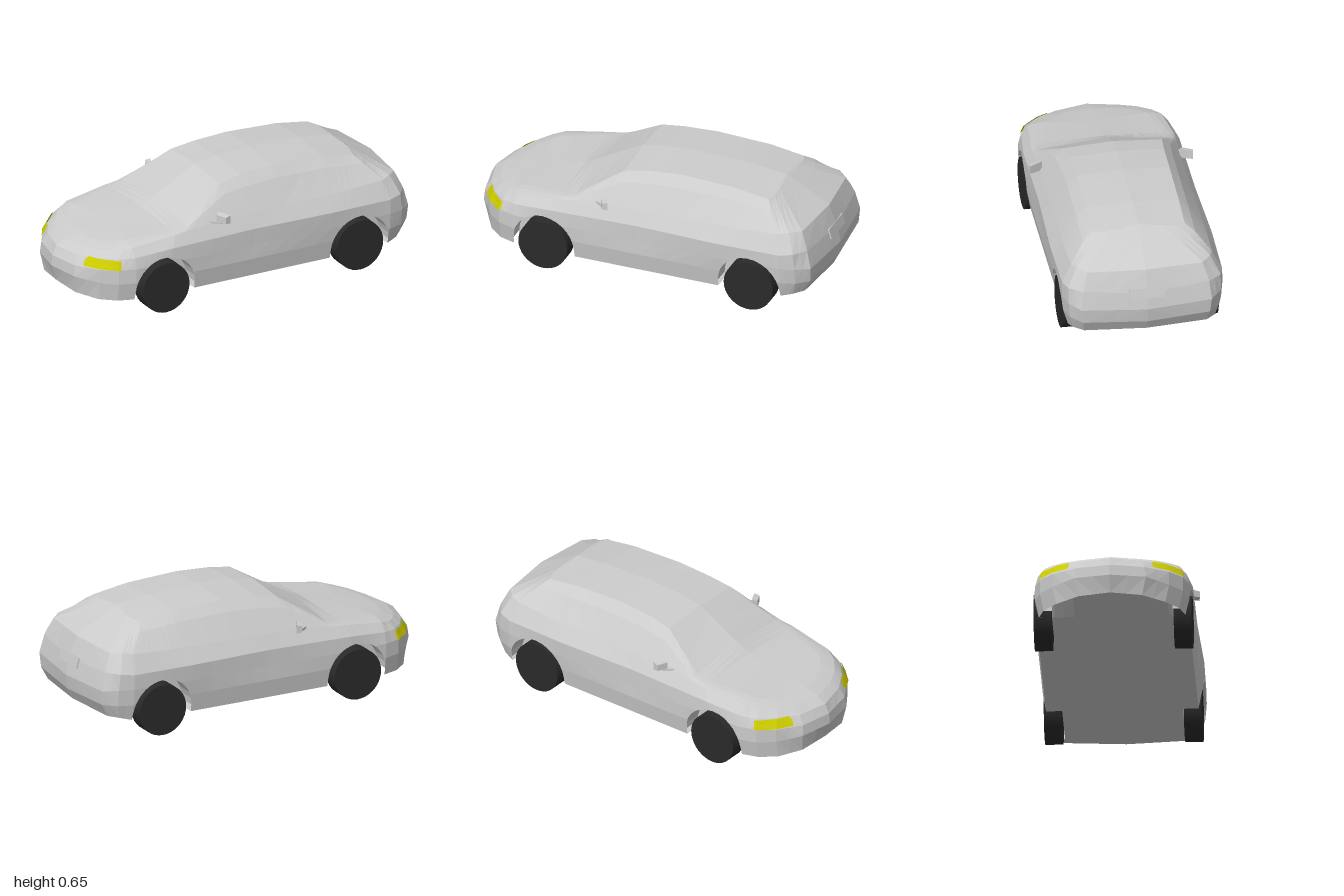
import * as THREE from 'three';

const grey = new THREE.MeshStandardMaterial({ color: 0xcccccc, flatShading: true, side: THREE.DoubleSide });
const yellow = new THREE.MeshStandardMaterial({ color: 0xcccc00, side: THREE.DoubleSide });
const black = new THREE.MeshStandardMaterial({ color: 0x2a2a2a });

const WHEELS = [-0.535, 0.64], WHEEL_R = 0.14, ARCH_R = 0.175, INNER_Z = 0.32, FLOOR_Y = 0.1;

// Lengthwise body lines for one side, nose to tail: [station, y, z, x (if not the station)]
const bottomLip = [[-1, .12, 0, -.97], [-.95, .11, .17], [-.88, .1, .29], [-.8, .1, .36], [-.71, .1, .39], [-.36, .1, .405],
  [.46, .1, .405], [.82, .11, .4], [.88, .125, .38], [.94, .13, .33, .93], [1, .13, 0, .96]];
const bumper = [[-1, .21, 0], [-.95, .21, .19, -.965], [-.88, .2, .31], [-.8, .2, .38], [-.71, .2, .41], [-.36, .2, .422],
  [.46, .2, .422], [.82, .2, .425], [.88, .2, .4, .9], [.94, .2, .34, .965], [1, .19, 0, .99]];
const waist = [[-1, .27, 0, -.995], [-.95, .27, .18, -.96], [-.88, .275, .31], [-.8, .28, .38], [-.71, .28, .41], [-.5, .28, .425],
  [0, .28, .42], [.46, .28, .43], [.82, .29, .432], [.88, .29, .41, .9], [.94, .28, .35, .97], [1, .27, 0]];
const shoulder = [[-1, .32, 0, -.97], [-.95, .32, .17, -.93], [-.88, .33, .28, -.865], [-.8, .335, .36, -.79], [-.71, .34, .395],
  [-.5, .36, .42], [0, .37, .42], [.46, .37, .435], [.82, .37, .43], [.88, .38, .41, .89], [.94, .38, .34, .945], [1, .36, 0, .98]];
const belt = [[-1, .35, 0, -.92], [-.95, .35, .15, -.89], [-.88, .36, .25, -.84], [-.8, .37, .32, -.78], [-.71, .385, .36],
  [-.45, .42, .385], [-.2, .44, .38], [.2, .45, .38], [.6, .46, .385], [.8, .47, .38], [.88, .48, .36, .85],
  [.94, .475, .31, .905], [1, .48, 0, .935]];
const roofEdge = [[-1, .375, 0, -.84], [-.95, .375, .1, -.83], [-.88, .38, .18, -.8], [-.8, .39, .24, -.75], [-.71, .4, .28],
  [-.45, .43, .33], [-.38, .445, .345], [-.13, .6, .265], [0, .623, .255], [.2, .636, .25], [.5, .622, .25], [.62, .605, .25, .61],
  [.8, .593, .25, .69], [.88, .595, .2, .705], [.94, .602, .13, .705], [1, .61, 0, .7]];
const centreLine = [[-1, .38, 0, -.82], [-.8, .395, 0, -.73], [-.46, .44, 0], [-.13, .617, 0], [0, .638, 0], [.2, .648, 0],
  [.5, .637, 0], [.8, .614, 0, .69], [1, .61, 0, .7]];

// Point of a body line at station c
function sample(line, c) {
  let i = 0;
  while (i < line.length - 2 && c > line[i + 1][0]) i++;
  const [a, b] = [line[i], line[i + 1]], t = (c - a[0]) / (b[0] - a[0]);
  const p = k => new THREE.Vector3(k[3] ?? k[0], k[1], k[2]);
  return p(a).lerp(p(b), t);
}

// Height of the wheel arch at station c, or 0 outside the arches
function arch(c) {
  const d = Math.min(...WHEELS.map(w => Math.abs(c - w)));
  return d <= ARCH_R + 1e-4 ? WHEEL_R + Math.sqrt(Math.max(0, ARCH_R ** 2 - d ** 2)) : 0;
}

// Body cross-section at station c, bottom to centre line
function section(c) {
  const [lip, bump, mid, side, sill, edge, top] =
    [bottomLip, bumper, waist, shoulder, belt, roofEdge, centreLine].map(l => sample(l, c));
  const windowTop = sill.clone().lerp(edge, 0.7);
  windowTop.z *= 1.04;
  return [lip, bump, mid, side, sill, windowTop, edge, top];
}

// Point on the section at height y
function atHeight(pts, y) {
  let i = 0;
  while (i < pts.length - 2 && y > pts[i + 1].y) i++;
  return pts[i].clone().lerp(pts[i + 1], (y - pts[i].y) / (pts[i + 1].y - pts[i].y));
}

// Section with everything under the wheel arch trimmed away
function trimmed(c) {
  const pts = section(c), a = arch(c), edge = a && atHeight(pts, a);
  return pts.map(p => (p.y < a ? edge.clone() : p));
}

// Surface through columns of points, built on both sides of the car
function loft(name, columns, material) {
  const n = columns[0].length, pos = [], idx = [];
  for (const s of [1, -1]) {
    const base = pos.length / 3;
    columns.forEach(col => col.forEach(p => pos.push(p.x, p.y, p.z * s)));
    for (let i = 0; i < columns.length - 1; i++) for (let j = 0; j < n - 1; j++) {
      const a = base + i * n + j, b = a + n;
      if (s > 0) idx.push(a, b, b + 1, a, b + 1, a + 1);
      else idx.push(a, b + 1, b, a, a + 1, b + 1);
    }
  }
  const g = new THREE.BufferGeometry();
  g.setAttribute('position', new THREE.Float32BufferAttribute(pos, 3));
  g.setIndex(idx);
  const flat = g.toNonIndexed();
  flat.computeVertexNormals();
  const mesh = new THREE.Mesh(flat, material);
  mesh.name = name;
  return mesh;
}

// Stations around one arch, closer together near its ends
function archStations(cx) {
  const out = [];
  for (let i = 0; i <= 14; i++) out.push(cx - ARCH_R * Math.cos(i / 14 * Math.PI));
  return out;
}

function box(name, size, position, rotation) {
  const m = new THREE.Mesh(new THREE.BoxGeometry(...size), grey);
  m.name = name;
  m.position.set(...position);
  m.rotation.set(...rotation);
  return m;
}

export function createModel() {
  const car = new THREE.Group();
  car.name = 'car';
  const V = (x, y, z) => new THREE.Vector3(x, y, z);

  // Body shell
  const stations = [-1, -.975, -.95, -.915, -.88, -.84, -.8, -.75, -.3, -.2, -.13, -.06, 0, .1, .2, .35, .85, .88, .91, .94, .97, 1];
  for (const w of WHEELS) stations.push(w - ARCH_R - .002, ...archStations(w), w + ARCH_R + .002);
  stations.sort((a, b) => a - b);
  car.add(loft('bodyShell', stations.map(trimmed), grey));

  // Flat floor, narrowed between the wheels
  const under = stations.filter(c => c > -.72 && c < .82);
  car.add(loft('floor', under.map(c => [V(c, FLOOR_Y, 0),
    V(c, FLOOR_Y, arch(c) ? INNER_Z : sample(bottomLip, c).z)]), grey));

  // Strip joining the floor to the rear bumper
  car.add(loft('rearApron', stations.filter(c => c > .815).map(c => {
    const lip = sample(bottomLip, c);
    return [V(.817, FLOOR_Y, Math.min(lip.z, INNER_Z)), lip];
  }), grey));

  // Wheel arch liners
  WHEELS.forEach((w, i) => car.add(loft(i ? 'rearArchLiners' : 'frontArchLiners', archStations(w).map(c =>
    [V(c, FLOOR_Y, INNER_Z), V(c, arch(c), INNER_Z), trimmed(c)[0]]), grey)));

  // Headlights follow the shell, just proud of it
  car.add(loft('headlights', [-.925, -.915, -.88, -.84, -.8, -.785].map((c, i) =>
    [.28, .305, i ? .328 : .31].map(y => atHeight(section(c), y).add(V(-.005, .001, .005)))), yellow));

  // Wheels
  const tyre = new THREE.CylinderGeometry(WHEEL_R, WHEEL_R, 0.095, 36).rotateX(Math.PI / 2);
  WHEELS.forEach((x, i) => [1, -1].forEach(s => {
    const wheel = new THREE.Mesh(tyre, black);
    wheel.name = (i ? 'rear' : 'front') + (s > 0 ? 'Left' : 'Right') + 'Wheel';
    wheel.position.set(x, WHEEL_R, s * 0.372);
    car.add(wheel);
  }));

  // Door mirrors
  for (const s of [1, -1]) {
    const mirror = new THREE.Group();
    mirror.name = s > 0 ? 'leftMirror' : 'rightMirror';
    const housing = box('mirrorHousing', [.03, .054, .075], [-.187, .463, s * .41], [0, s * .46, 0]);
    // Narrow the outer end and front face
    const p = housing.geometry.attributes.position;
    for (let i = 0; i < p.count; i++) {
      if (p.getZ(i) * s > 0) p.setY(i, p.getY(i) * .85);
      if (p.getX(i) < 0) p.setXYZ(i, p.getX(i), p.getY(i) * .75, p.getZ(i) * .8);
    }
    housing.geometry.computeVertexNormals();
    mirror.add(housing, box('mirrorArm', [.02, .014, .065], [-.217, .441, s * .385], [0, s * 1.0, 0]));
    car.add(mirror);
  }

  // Number plate panel on the tailgate
  car.add(box('platePanel', [.012, .055, .19], [.974, .357, 0], [0, 0, .28]));
  return car;
}
